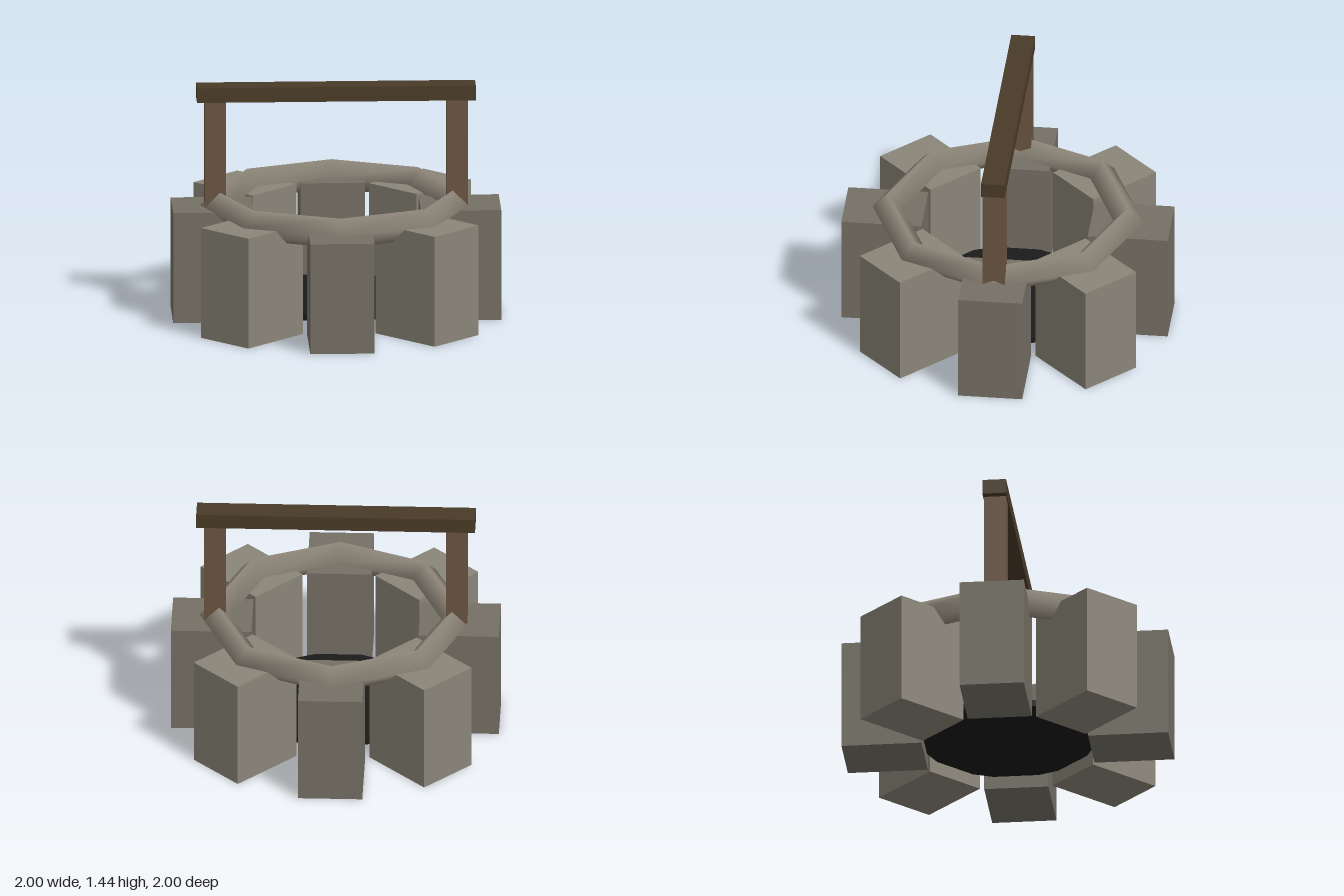
import * as THREE from 'three';

const paint = (color) => new THREE.MeshStandardMaterial({ color });

function addPart(group, name, geometry, material, x = 0, y = 0, z = 0) {
  const mesh = new THREE.Mesh(geometry, material);
  mesh.name = name;
  mesh.position.set(x, y, z);
  group.add(mesh);
  return mesh;
}

export function createModel() {
  const well = new THREE.Group();
  well.name = 'well';

  // Ring of eight upright stones in two alternating shades
  const stones = new THREE.Group();
  stones.name = 'stoneRing';
  well.add(stones);
  const stoneGeometry = new THREE.BoxGeometry(0.49, 0.69, 0.393);
  const shades = [paint(0x757065), paint(0x8a8578)];
  for (let i = 0; i < 8; i++) {
    const a = (i * Math.PI) / 4;
    const stone = addPart(stones, 'stone', stoneGeometry, shades[i % 2],
      Math.cos(a) * 0.755, 0.345, Math.sin(a) * 0.755);
    stone.rotation.y = -a;
  }

  // Eight-sided rim with a diamond cross-section and smooth shading
  const rim = new THREE.TorusGeometry(0.737, 0.093, 4, 8).rotateX(Math.PI / 2);
  addPart(well, 'rim', rim, paint(0x8f877a), 0, 0.69, 0);

  // Dark water disc near the bottom
  const water = new THREE.CylinderGeometry(0.568, 0.568, 0.04, 8);
  addPart(well, 'water', water, paint(0x1a1a1a), 0, 0.1, 0);

  // Two posts carrying the crossbeam
  const postGeometry = new THREE.BoxGeometry(0.13, 0.66, 0.135);
  const postMaterial = paint(0x6b5540);
  for (const side of [1, -1]) {
    addPart(well, side > 0 ? 'leftPost' : 'rightPost', postGeometry, postMaterial, side * 0.737, 1.02, 0);
  }
  addPart(well, 'crossbeam', new THREE.BoxGeometry(1.7, 0.092, 0.145), paint(0x4a3b28), 0, 1.396, 0);

  return well;
}
